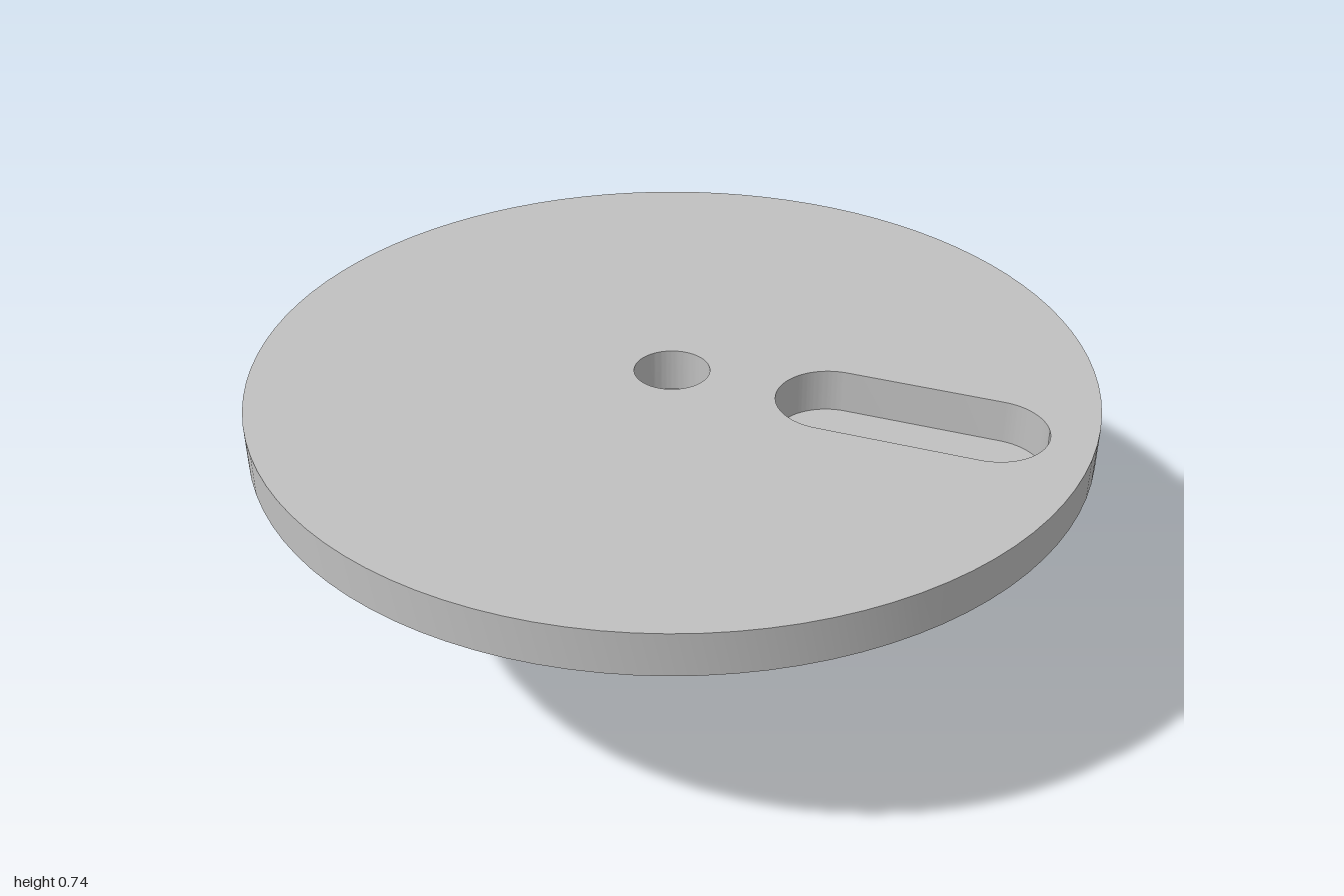
import * as THREE from 'three';
import { toCreasedNormals } from 'three/addons/utils/BufferGeometryUtils.js';

const SEGMENTS = 96;

export function createModel() {
  const model = new THREE.Group();
  model.name = 'slottedDisc';
  const grey = new THREE.MeshStandardMaterial({ name: 'grey', color: 0xc0c0c0 });

  const add = (name, geometry) => {
    const mesh = new THREE.Mesh(toCreasedNormals(geometry, 0.6), grey);
    mesh.name = name;
    model.add(mesh);
    return mesh;
  };
  const lathe = (profile, segments = SEGMENTS) =>
    new THREE.LatheGeometry(profile.map(([r, y]) => new THREE.Vector2(r, y)), segments);

  // Main disc: shape y becomes -z once the extrusion is laid flat
  const outline = new THREE.Shape().absarc(0, 0, 1, 0, Math.PI * 2, false);
  const centreHole = new THREE.Path().absarc(0, 0, 0.09, 0, Math.PI * 2, true);

  // Rounded slot running outwards between two end centres
  const inner = new THREE.Vector2(0.29, -0.265);
  const outer = new THREE.Vector2(0.565, -0.52);
  const angle = Math.atan2(outer.y - inner.y, outer.x - inner.x);
  const quarter = Math.PI / 2;
  const slot = new THREE.Path();
  slot.absarc(outer.x, outer.y, 0.13, angle + quarter, angle - quarter, true);
  slot.absarc(inner.x, inner.y, 0.13, angle - quarter, angle - 3 * quarter, true);
  slot.closePath();
  outline.holes.push(centreHole, slot);

  const disc = new THREE.ExtrudeGeometry(outline, { depth: 0.105, bevelEnabled: false, curveSegments: 48 });
  disc.rotateX(-Math.PI / 2).translate(0, 0.635, 0);
  add('disc', disc);

  // Backing plate with a raised rim around its underside
  add('backingPlate', lathe([
    [0.16, 0.615], [0.815, 0.615], [0.815, 0.595], [0.915, 0.595], [0.915, 0.635], [0.16, 0.635],
  ]));

  // Central post with a small blind bore in its top
  add('post', lathe([
    [0, 0], [0.165, 0], [0.165, 0.635], [0.04, 0.635], [0.04, 0.4], [0, 0.4],
  ], 64));

  // Off-centre locating pin below the plate
  const pin = new THREE.CylinderGeometry(0.05, 0.05, 0.1, 32);
  add('pin', pin).position.set(-0.34, 0.575, 0.11);

  return model;
}
